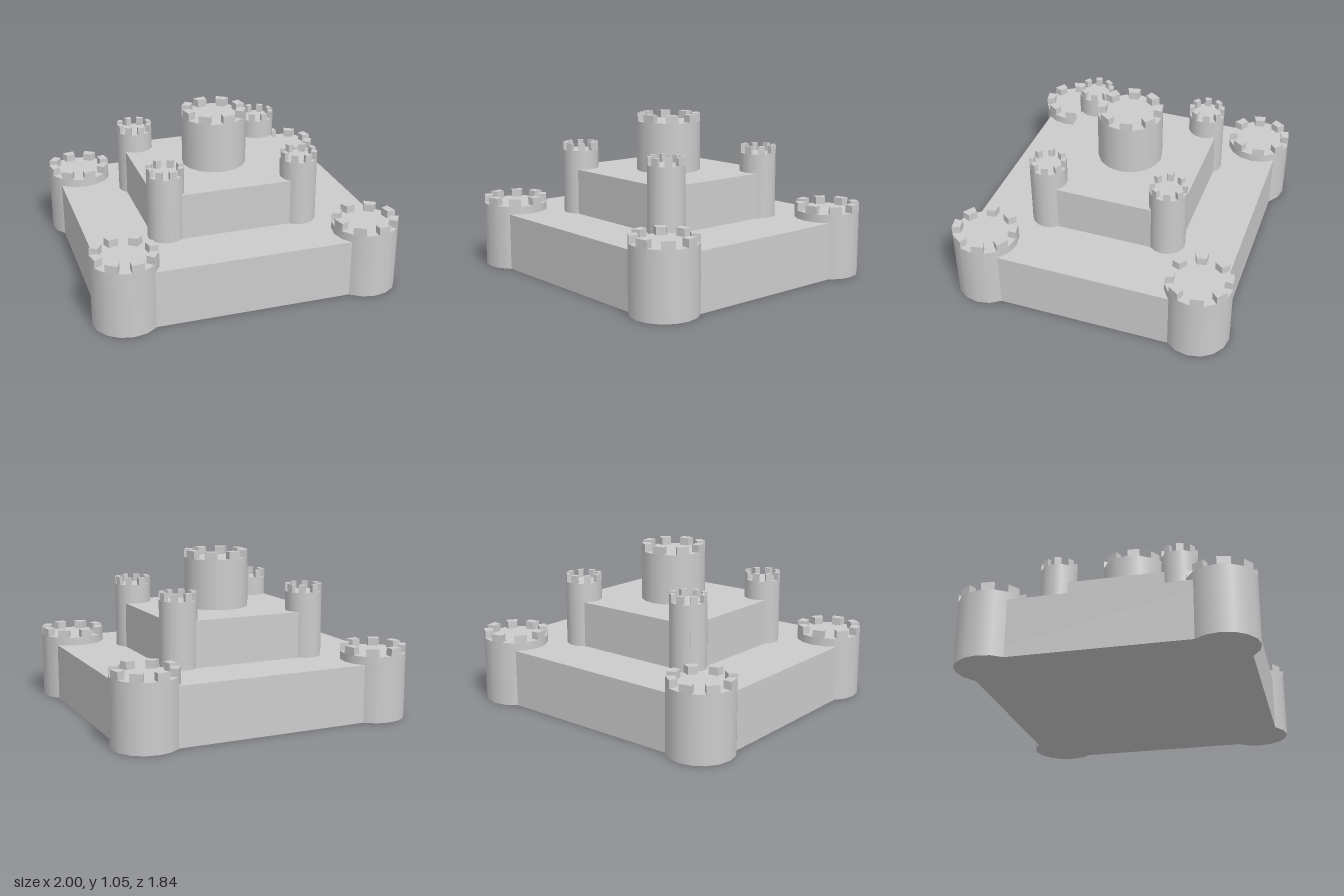
import * as THREE from 'three';

const SIDES = 16;
const MERLON_HEIGHT = 0.05;
const stone = new THREE.MeshStandardMaterial({ color: 0xcccccc });

function block(name, width, depth, bottom, top) {
  const mesh = new THREE.Mesh(new THREE.BoxGeometry(width, top - bottom, depth), stone);
  mesh.name = name;
  mesh.position.y = (bottom + top) / 2;
  return mesh;
}

// One battlement tooth spanning a single side of the tower wall
function merlonGeometry(radius) {
  const inner = radius * 0.74;
  const a = (Math.PI * 2) / SIDES;
  const at = (r, t) => new THREE.Vector2(r * Math.cos(t), r * Math.sin(t));
  const shape = new THREE.Shape([at(inner, 0), at(radius, 0), at(radius, a), at(inner, a)]);
  const geometry = new THREE.ExtrudeGeometry(shape, { depth: MERLON_HEIGHT, bevelEnabled: false });
  return geometry.rotateX(-Math.PI / 2);
}

// Round tower with a tooth on every other side
function tower(name, radius, bottom, top, x = 0, z = 0) {
  const group = new THREE.Group();
  group.name = name;
  group.position.set(x, 0, z);

  const floor = top - MERLON_HEIGHT;
  const wall = new THREE.Mesh(
    new THREE.CylinderGeometry(radius, radius, floor - bottom, SIDES), stone);
  wall.name = 'towerWall';
  wall.position.y = (bottom + floor) / 2;
  group.add(wall);

  const tooth = merlonGeometry(radius);
  for (let i = 0; i < SIDES / 2; i++) {
    const merlon = new THREE.Mesh(tooth, stone);
    merlon.name = 'merlon';
    merlon.position.y = floor;
    merlon.rotation.y = (i * Math.PI * 4) / SIDES;
    group.add(merlon);
  }
  return group;
}

export function createModel() {
  const castle = new THREE.Group();
  castle.name = 'castle';

  // Two stacked terraces
  castle.add(block('lowerTerrace', 1.88, 1.71, 0, 0.375));
  castle.add(block('upperTerrace', 1.055, 0.97, 0.375, 0.675));

  // Corner towers of both terraces
  for (const sx of [-1, 1]) {
    for (const sz of [-1, 1]) {
      const corner = (sz > 0 ? 'front' : 'back') + (sx > 0 ? 'Left' : 'Right');
      castle.add(tower(corner + 'OuterTower', 0.212, 0, 0.478, sx * 0.788, sz * 0.71));
      castle.add(tower(corner + 'InnerTower', 0.119, 0.375, 0.85, sx * 0.444, sz * 0.4));
    }
  }

  // Central keep
  castle.add(tower('keep', 0.212, 0.675, 1.053));
  return castle;
}
